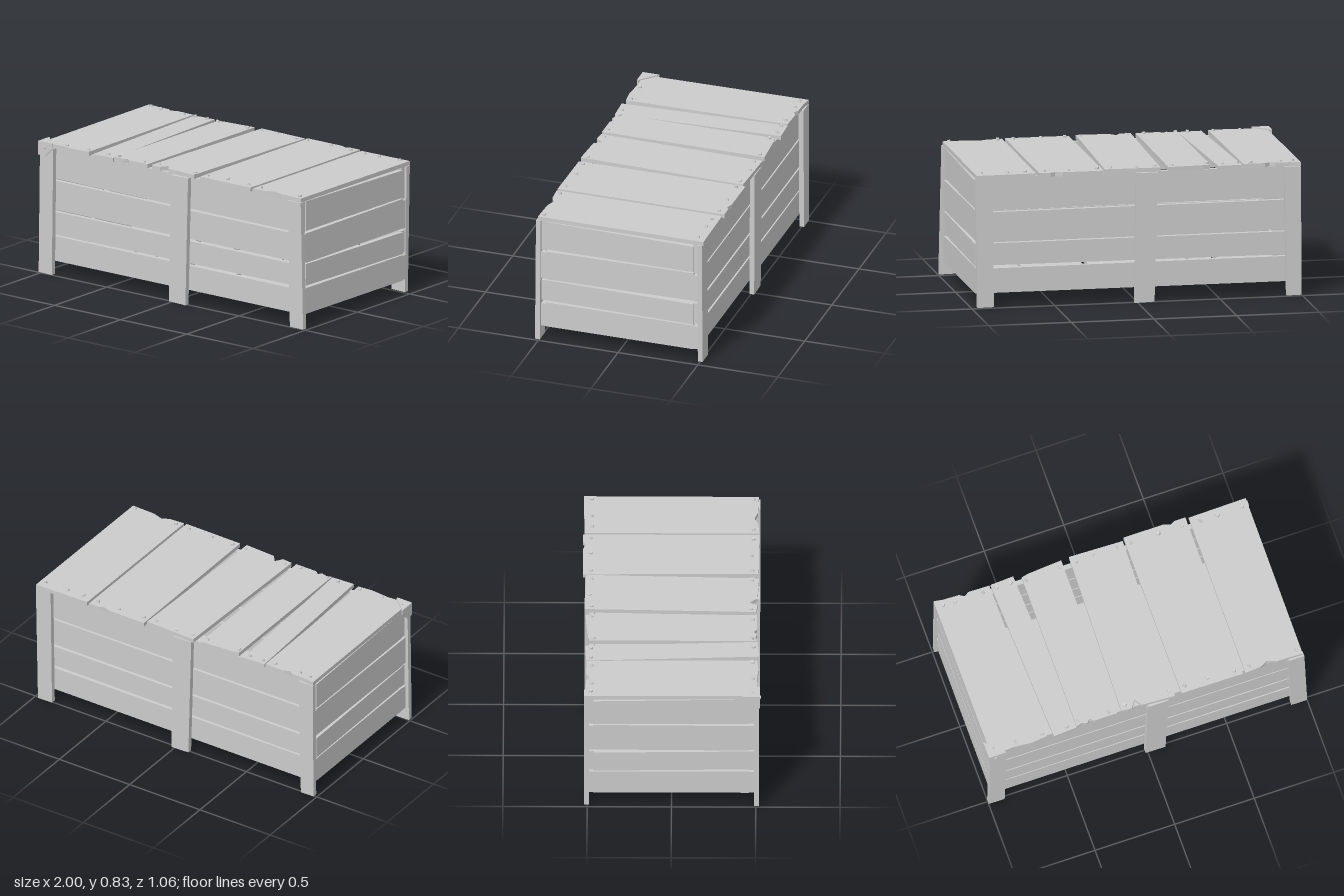
import * as THREE from 'three';

const mat = new THREE.MeshStandardMaterial({ color: 0xcccccc, flatShading: true });

// Extrude a polygon to a given thickness, starting at depth 0 and growing along +z
function slab(pts, thick) {
  const shape = new THREE.Shape(pts.map(p => new THREE.Vector2(p[0], p[1])));
  return new THREE.ExtrudeGeometry(shape, { depth: thick, bevelEnabled: false });
}

function add(parent, name, geo, x = 0, y = 0, z = 0) {
  const m = new THREE.Mesh(geo, mat);
  m.name = name;
  m.position.set(x, y, z);
  parent.add(m);
  return m;
}

// Upright board: polygon in x/y, from z0 to z0 + thick
const faceBoard = (g, name, pts, z0, thick) => add(g, name, slab(pts, thick), 0, 0, z0);
// End board: polygon in z/y, from x1 - thick to x1
const endBoard = (g, name, pts, x1, thick) => add(g, name, slab(pts, thick).rotateY(-Math.PI / 2), x1);
// Flat board: polygon in x/z, from top - thick to top
const flatBoard = (g, name, pts, top, thick) => add(g, name, slab(pts, thick).rotateX(Math.PI / 2), 0, top);

// Lid outlines in x/z, with chipped ends
const lidPlanks = [
  [[-0.985, -0.52], [-0.92, -0.51], [-0.83, -0.508], [-0.8, -0.49], [-0.77, -0.508], [-0.64, -0.505],
    [-0.63, 0.505], [-0.72, 0.515], [-0.84, 0.505], [-0.98, 0.515]],
  [[-0.632, -0.508], [-0.487, -0.515], [-0.445, 0.51], [-0.59, 0.518]],
  [[-0.442, -0.49], [-0.4, -0.5], [-0.185, -0.515], [-0.19, 0.505], [-0.33, 0.505], [-0.355, 0.485],
    [-0.375, 0.505], [-0.41, 0.495], [-0.442, 0.505]],
  [[-0.135, -0.52], [0.2, -0.51], [0.17, 0.515], [-0.03, 0.505], [-0.065, 0.46], [-0.095, 0.505], [-0.16, 0.5]],
  [[0.21, -0.53], [0.46, -0.53], [0.5, -0.515], [0.53, -0.53], [0.6, -0.53], [0.598, 0.515], [0.215, 0.512]],
  [[0.618, -0.522], [0.978, -0.528], [0.975, 0.51], [0.82, 0.505], [0.76, 0.485], [0.71, 0.508], [0.615, 0.515]],
];

export function createModel() {
  const crate = new THREE.Group();
  crate.name = 'crate';

  // Long walls, front and back: [left bottom, right bottom, left top, right top]
  const wallRows = [
    [0.09, 0.09, 0.242, 0.238], [0.252, 0.258, 0.392, 0.39],
    [0.406, 0.406, 0.584, 0.578], [0.598, 0.59, 0.786, 0.786],
  ];
  for (const side of [1, -1]) {
    const wall = new THREE.Group();
    wall.name = side > 0 ? 'frontWall' : 'backWall';
    wallRows.forEach(([a, b, c, d], i) => {
      const w = 0.975 - (i % 2) * 0.006;
      faceBoard(wall, 'wallBoard' + i, [[-w, a], [w, b], [w, d], [-w, c]], side > 0 ? 0.46 : -0.49, 0.03);
    });
    crate.add(wall);
  }

  // Short walls at both ends, boards slightly out of level
  const endRows = [
    [0.088, 0.086, 0.247, 0.243], [0.262, 0.25, 0.395, 0.384],
    [0.402, 0.408, 0.584, 0.59], [0.6, 0.598, 0.782, 0.766],
  ];
  for (const side of [1, -1]) {
    const wall = new THREE.Group();
    wall.name = side > 0 ? 'leftEnd' : 'rightEnd';
    for (const [i, [a, b, c, d]] of endRows.entries())
      endBoard(wall, 'endBoard' + i, [[0.46, a], [0.46, c], [-0.465, d], [-0.465, b]], side > 0 ? 0.975 : -0.945, 0.03);
    crate.add(wall);
  }

  // Upright posts: [bottom left, bottom right, top left, top right]
  const posts = [
    [[-1, -0.9, -0.99, -0.89], [-0.015, 0.11, 0, 0.13], [0.9, 1, 0.885, 0.982]],
    [[-0.99, -0.9, -0.985, -0.885], [-0.1, 0.02, -0.12, 0.01], [0.87, 0.97, 0.88, 0.985]],
  ];
  posts.forEach((row, k) => row.forEach(([a, b, c, d], i) =>
    faceBoard(crate, (k ? 'backPost' : 'frontPost') + i,
      [[a, i === 1 ? 0.004 : 0.01], [b, i === 1 ? 0 : 0.008], [d, 0.786], [c, 0.786]], k ? -0.52 : 0.49, 0.03)));

  // Lid planks at slightly differing heights
  const lid = new THREE.Group();
  lid.name = 'lid';
  const tops = [0.813, 0.809, 0.814, 0.815, 0.812, 0.81];
  lidPlanks.forEach((pts, i) => flatBoard(lid, 'lidPlank' + i, pts, tops[i], 0.025));
  crate.add(lid);

  // Floor planks follow the lid layout, fitted inside the walls
  const floor = new THREE.Group();
  floor.name = 'floor';
  lidPlanks.forEach((pts, i) =>
    flatBoard(floor, 'floorPlank' + i, pts.map(([x, z]) => [x * 0.96, Math.sign(z) * 0.46]), 0.113, 0.022));
  crate.add(floor);

  // Nails: [x, z] along both edges of the lid
  const nails = [
    [-0.94, -0.478], [-0.865, -0.475], [-0.69, -0.475], [-0.605, -0.478], [-0.515, -0.48], [-0.425, -0.465],
    [-0.21, -0.478], [-0.105, -0.478], [0.005, -0.49], [0.16, -0.478], [0.24, -0.482], [0.415, -0.485],
    [0.565, -0.485], [0.675, -0.478], [0.785, -0.48], [0.94, -0.482],
    [-0.955, 0.475], [-0.815, 0.48], [-0.655, 0.48], [-0.5, 0.485], [-0.425, 0.475], [-0.235, 0.48],
    [-0.13, 0.47], [0.15, 0.475], [0.245, 0.475], [0.39, 0.47], [0.555, 0.48], [0.65, 0.48], [0.945, 0.48],
  ];
  const nailGeo = new THREE.CylinderGeometry(0.01, 0.012, 0.012, 8);
  nails.forEach(([x, z], i) => {
    const n = add(lid, 'nail' + i, nailGeo, x, 0.817 + (i % 5 === 0 ? 0.004 : 0), z);
    n.rotation.set(0.2 * Math.sin(i * 2.3), 0, 0.2 * Math.cos(i * 1.7));
  });

  // Metal corner bracket: one cut plate on each of three faces
  const bracket = new THREE.Group();
  bracket.name = 'cornerBracket';
  flatBoard(bracket, 'bracketTop', [[-1, 0.42], [-0.895, 0.515], [-0.895, 0.524], [-1, 0.524]], 0.82, 0.007);
  faceBoard(bracket, 'bracketFront', [[-1, 0.735], [-0.945, 0.735], [-0.895, 0.785], [-0.895, 0.82], [-1, 0.82]], 0.518, 0.007);
  endBoard(bracket, 'bracketSide', [[0.524, 0.735], [0.524, 0.82], [0.42, 0.82], [0.42, 0.79], [0.475, 0.735]], -0.993, 0.007);
  for (const [y, z] of [[0.785, 0.48]])
    add(bracket, 'sideNail', nailGeo.clone().rotateZ(Math.PI / 2), -0.994, y, z);
  add(bracket, 'frontNail', nailGeo.clone().rotateX(Math.PI / 2), -0.955, 0.785, 0.525);
  crate.add(bracket);

  return crate;
}
